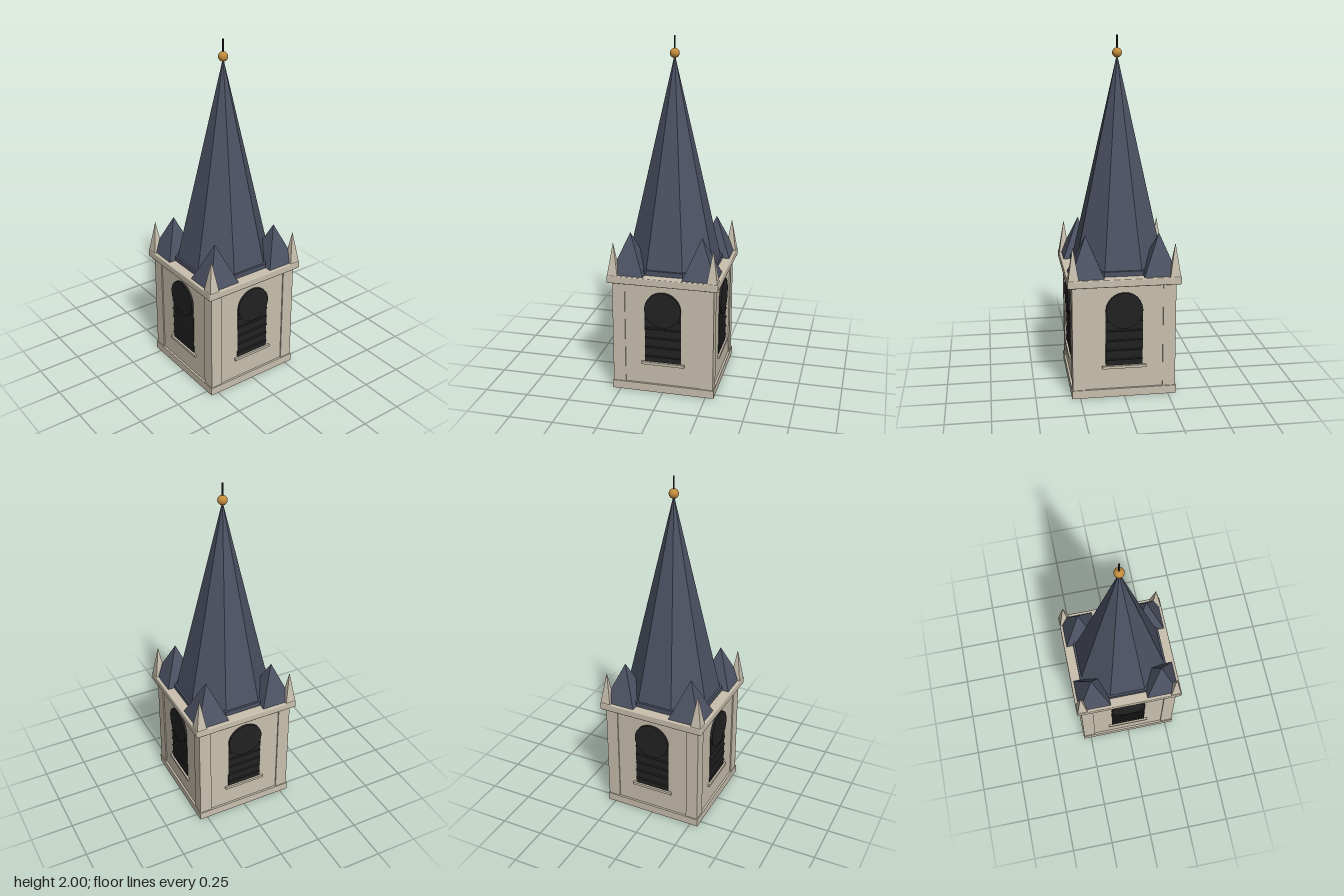
import * as THREE from 'three';
import { RoundedBoxGeometry } from 'three/addons/geometries/RoundedBoxGeometry.js';

export function createModel() {
  const material = (name, color, flatShading = false) => {
    const m = new THREE.MeshStandardMaterial({ color, flatShading });
    m.name = name;
    return m;
  };
  const stone = material('stone', 0xc9c0ae);
  const slate = material('slate', 0x4c5263, true);
  const dark = material('louverDark', 0x222222);
  const gold = material('gold', 0xc28b3c);

  const tower = new THREE.Group();
  tower.name = 'bellTower';

  const add = (parent, name, geometry, mat, x = 0, y = 0, z = 0) => {
    const mesh = new THREE.Mesh(geometry, mat);
    mesh.name = name;
    mesh.position.set(x, y, z);
    parent.add(mesh);
    return mesh;
  };
  const box = (w, h, d) => new THREE.BoxGeometry(w, h, d);

  // Upright faceted cone standing on y = 0, with flat sides facing the axes
  const spike = (apothem, height, sides) => {
    const g = new THREE.ConeGeometry(apothem / Math.cos(Math.PI / sides), height, sides).toNonIndexed();
    g.rotateY(Math.PI / sides);
    g.translate(0, height / 2, 0);
    g.computeVertexNormals();
    return g;
  };

  // Masonry shaft, base course and cornice
  add(tower, 'shaft', box(0.57, 0.64, 0.57), stone, 0, 0.34, 0);
  add(tower, 'baseCourse', box(0.594, 0.048, 0.594), stone, 0, 0.024, 0);
  add(tower, 'cornice', new RoundedBoxGeometry(0.636, 0.044, 0.636, 1, 0.006), stone, 0, 0.68, 0);

  // Corner pilasters, small roofs and pinnacles
  for (const sx of [-1, 1]) {
    for (const sz of [-1, 1]) {
      add(tower, 'cornerPilaster', box(0.072, 0.614, 0.072), stone, sx * 0.256, 0.353, sz * 0.256);
      add(tower, 'cornerRoof', spike(0.096, 0.23, 4), slate, sx * 0.206, 0.7, sz * 0.206);
      add(tower, 'cornerPinnacle', spike(0.03, 0.19, 4), stone, sx * 0.284, 0.7, sz * 0.284);
    }
  }

  // Arched louvered opening on each side
  for (let i = 0; i < 4; i++) {
    const opening = new THREE.Group();
    opening.name = 'belfryOpening';
    opening.rotation.y = i * Math.PI / 2;
    add(opening, 'openingPanel', box(0.21, 0.325, 0.01), dark, 0, 0.35, 0.283);
    const arch = new THREE.CylinderGeometry(0.105, 0.105, 0.02, 32).rotateX(Math.PI / 2);
    add(opening, 'openingArch', arch, dark, 0, 0.512, 0.288);
    for (let k = 0; k < 5; k++) {
      const slat = add(opening, 'louverSlat', box(0.206, 0.008, 0.024), dark, 0, 0.225 + k * 0.057, 0.283);
      slat.rotation.x = 0.5;
    }
    add(opening, 'windowSill', box(0.25, 0.016, 0.03), stone, 0, 0.178, 0.283);
    tower.add(opening);
  }

  // Octagonal spire on a low curb
  const curbRadius = 0.262 / Math.cos(Math.PI / 8);
  const curb = new THREE.CylinderGeometry(curbRadius, curbRadius, 0.03, 8).rotateY(Math.PI / 8);
  add(tower, 'spireCurb', curb, slate, 0, 0.715, 0);
  add(tower, 'spire', spike(0.25, 1.17, 8), slate, 0, 0.73, 0);

  // Finial
  add(tower, 'finialBall', new THREE.SphereGeometry(0.027, 24, 16), gold, 0, 1.905, 0);
  add(tower, 'finialRod', new THREE.CylinderGeometry(0.005, 0.005, 0.12, 10), dark, 0, 1.94, 0);

  return tower;
}
